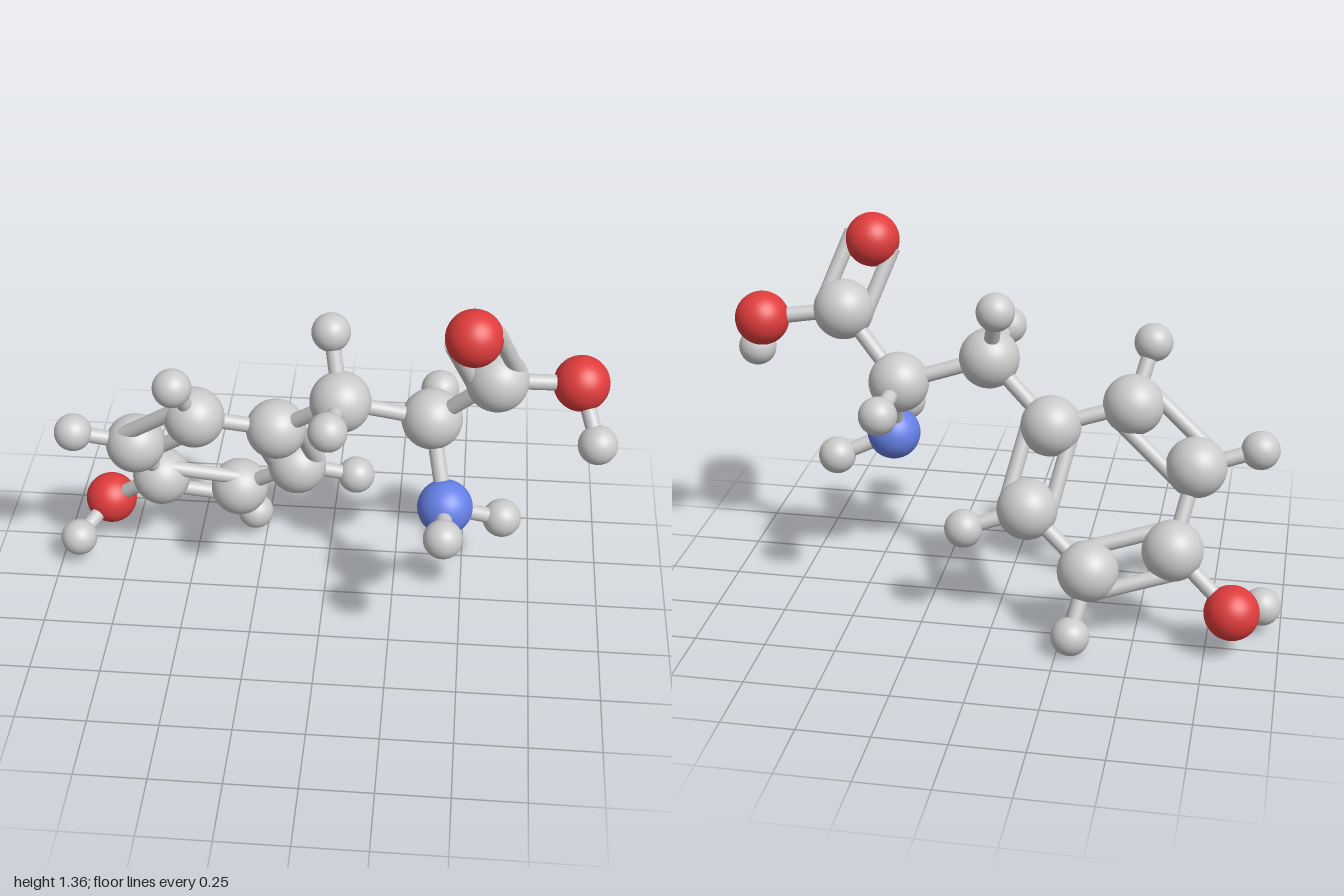
import * as THREE from 'three';

// Atom kinds: radius and colour
const KINDS = {
  carbon: { r: 0.106, color: 0xcccccc },
  hydrogen: { r: 0.067, color: 0xcccccc },
  oxygen: { r: 0.095, color: 0xe03c3c },
  nitrogen: { r: 0.096, color: 0x6680e6 },
};
const ROD = 0.027;
const DOUBLE_OFFSET = 0.077;

// Atom centres by kind
const ATOMS = {
  carbon: {
    ring1: [-0.174, 0.703, -0.04], ring2: [-0.452, 0.778, 0.02],
    ring3: [-0.682, 0.596, -0.06], ring4: [-0.623, 0.345, -0.207],
    ring5: [-0.34, 0.27, -0.265], ring6: [-0.115, 0.447, -0.182],
    chain1: [0.06, 0.9, 0.06], chain2: [0.372, 0.81, 0.004],
    acid: [0.585, 1.037, 0.09],
  },
  oxygen: {
    hydroxyl: [-0.837, 0.168, -0.288], acidDouble: [0.5, 1.265, 0.194], acidSingle: [0.867, 1.006, 0.036],
  },
  nitrogen: { amine: [0.431, 0.548, 0.157] },
  hydrogen: {
    hRing2: [-0.505, 0.97, 0.13], hRing3: [-0.896, 0.658, -0.02],
    hRing5: [-0.297, 0.072, -0.375], hRing6: [0.099, 0.378, -0.23],
    hHydroxyl: [-0.933, 0.107, -0.113], hChain1Back: [0.019, 1.11, -0.047],
    hChain1Front: [0.035, 0.938, 0.295], hChain2: [0.393, 0.777, -0.229],
    hAmine1: [0.43, 0.581, 0.377], hAmine2: [0.63, 0.468, 0.098],
    hAcid: [0.93, 0.847, 0.163],
  },
};

const SINGLE = [
  ['ring1', 'ring2'], ['ring3', 'ring4'], ['ring5', 'ring6'], ['ring1', 'chain1'],
  ['ring4', 'hydroxyl'], ['hydroxyl', 'hHydroxyl'],
  ['ring2', 'hRing2'], ['ring3', 'hRing3'], ['ring5', 'hRing5'], ['ring6', 'hRing6'],
  ['chain1', 'chain2'], ['chain1', 'hChain1Back'], ['chain1', 'hChain1Front'],
  ['chain2', 'hChain2'], ['chain2', 'amine'], ['chain2', 'acid'],
  ['amine', 'hAmine1'], ['amine', 'hAmine2'],
  ['acid', 'acidSingle'], ['acidSingle', 'hAcid'],
];
// The third atom fixes the plane in which the two rods lie
const DOUBLE = [
  ['ring1', 'ring6', 'ring4'], ['ring2', 'ring3', 'ring5'],
  ['ring4', 'ring5', 'ring1'], ['acid', 'acidDouble', 'acidSingle'],
];

export function createModel() {
  const model = new THREE.Group();
  model.name = 'molecule';
  const bonds = new THREE.Group();
  bonds.name = 'bonds';
  const centre = {};

  // Atoms
  for (const [kind, list] of Object.entries(ATOMS)) {
    const group = new THREE.Group();
    group.name = `${kind}Atoms`;
    const geometry = new THREE.SphereGeometry(KINDS[kind].r, 40, 28);
    const material = new THREE.MeshStandardMaterial({ color: KINDS[kind].color });
    for (const [name, p] of Object.entries(list)) {
      centre[name] = new THREE.Vector3(...p);
      const atom = new THREE.Mesh(geometry, material);
      atom.name = `${name}Atom`;
      atom.position.copy(centre[name]);
      group.add(atom);
    }
    model.add(group);
  }

  // Bonds
  const rodGeometry = new THREE.CylinderGeometry(ROD, ROD, 1, 24);
  const rodMaterial = new THREE.MeshStandardMaterial({ color: 0xcccccc });
  const up = new THREE.Vector3(0, 1, 0);
  const addRod = (a, b, name, shift = new THREE.Vector3()) => {
    const dir = b.clone().sub(a);
    const rod = new THREE.Mesh(rodGeometry, rodMaterial);
    rod.name = name;
    rod.position.copy(a).add(b).multiplyScalar(0.5).add(shift);
    rod.scale.y = dir.length();
    rod.quaternion.setFromUnitVectors(up, dir.normalize());
    bonds.add(rod);
  };
  for (const [a, b] of SINGLE) addRod(centre[a], centre[b], 'singleBond');
  for (const [a, b, c] of DOUBLE) {
    const dir = centre[b].clone().sub(centre[a]).normalize();
    const side = centre[c].clone().sub(centre[a]);
    side.addScaledVector(dir, -side.dot(dir)).normalize();
    for (const s of [-1, 1]) {
      addRod(centre[a], centre[b], 'doubleBondRod', side.clone().multiplyScalar(s * DOUBLE_OFFSET));
    }
  }
  model.add(bonds);
  return model;
}
